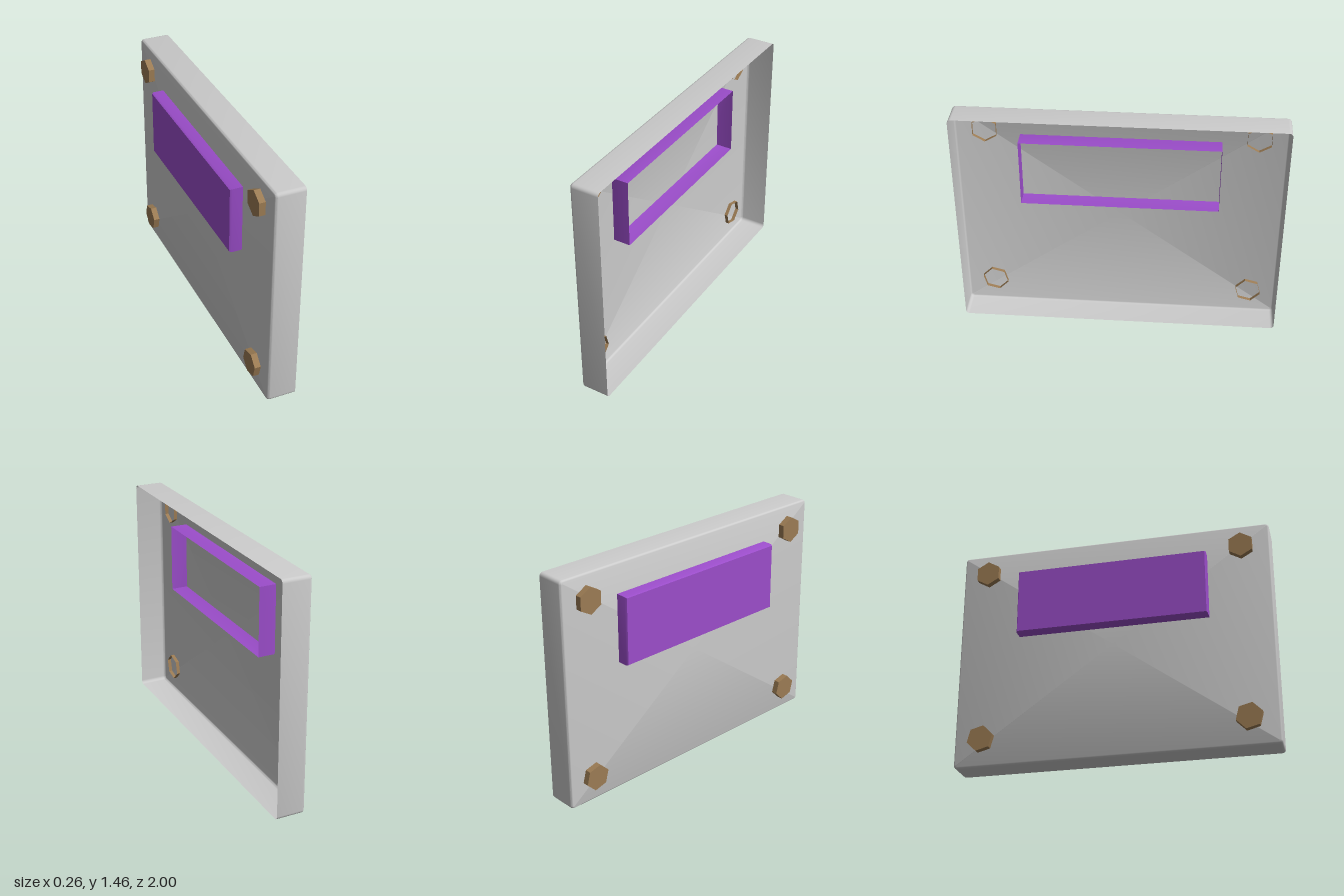
import * as THREE from 'three';
import { toCreasedNormals } from 'three/addons/utils/BufferGeometryUtils.js';

const material = (color) => new THREE.MeshStandardMaterial({ color, side: THREE.DoubleSide });

// Rounded rectangle outline as [z, y] points, counter-clockwise seen from -x
function roundedRect(halfZ, halfY, r, steps) {
  const pts = [];
  for (let c = 0; c < 4; c++) {
    const sz = c === 0 || c === 3 ? 1 : -1, sy = c < 2 ? 1 : -1;
    for (let i = 0; i <= steps; i++) {
      const a = (c + (steps ? i / steps : 0)) * Math.PI / 2;
      pts.push([sz * (halfZ - r) + r * Math.cos(a), sy * (halfY - r) + r * Math.sin(a)]);
    }
  }
  return pts;
}

// Regular hexagon outline with a turn in degrees
function hexagon(radius, turn) {
  return Array.from({ length: 6 }, (_, i) => {
    const a = THREE.MathUtils.degToRad(turn + i * 60);
    return [radius * Math.cos(a), radius * Math.sin(a)];
  });
}

// Thin shell through outlines running towards -x: open at the first, closed at the last
function openShell(name, rings, mat) {
  const pos = [];
  const put = (x, p) => pos.push(x, p[1], p[0]);
  const n = rings[0].pts.length;
  for (let i = 0; i < n; i++) {
    const j = (i + 1) % n;
    for (let k = 0; k < rings.length - 1; k++) {
      const a = rings[k], b = rings[k + 1];
      put(a.x, a.pts[i]); put(a.x, a.pts[j]); put(b.x, b.pts[j]);
      put(a.x, a.pts[i]); put(b.x, b.pts[j]); put(b.x, b.pts[i]);
    }
    const end = rings[rings.length - 1];
    put(end.x, [0, 0]); put(end.x, end.pts[i]); put(end.x, end.pts[j]);
  }
  const geo = new THREE.BufferGeometry();
  geo.setAttribute('position', new THREE.Float32BufferAttribute(pos, 3));
  const mesh = new THREE.Mesh(toCreasedNormals(geo, 0.6), mat);
  mesh.name = name;
  return mesh;
}

export function createModel() {
  const model = new THREE.Group();
  model.name = 'wallPanel';

  // Cover: shallow tray open towards +x, with filleted edges
  const halfZ = 1, halfY = 0.73, corner = 0.022, fillet = 0.018, face = -0.053;
  const rings = [{ x: 0.13, pts: roundedRect(halfZ, halfY, corner, 4) }];
  for (let i = 0; i <= 4; i++) {
    const a = i / 4 * Math.PI / 2;
    const inset = fillet * (1 - Math.cos(a));
    rings.push({
      x: face + fillet * (1 - Math.sin(a)),
      pts: roundedRect(halfZ - inset, halfY - inset, corner - inset, 4),
    });
  }
  const cover = openShell('cover', rings, material(0xcccccc));
  cover.position.y = halfY;
  model.add(cover);

  // Nameplate block: open-backed box passing through the cover
  const plate = openShell('raisedPlate', [
    { x: 0.053, pts: roundedRect(0.606, 0.215, 0, 0) },
    { x: -0.118, pts: roundedRect(0.606, 0.215, 0, 0) },
    { x: -0.13, pts: roundedRect(0.6, 0.209, 0, 0) },
  ], material(0x9b4dca));
  plate.position.y = 1.059;
  model.add(plate);

  // Four hexagonal bolt heads, each turned a little differently
  const boltMaterial = material(0x9c7c54);
  const bolts = [
    ['upperFrontBolt', 1.309, 0.82, 30],
    ['upperBackBolt', 1.309, -0.826, 30],
    ['lowerFrontBolt', 0.17, 0.82, 15],
    ['lowerBackBolt', 0.17, -0.826, 15],
  ];
  for (const [name, y, z, turn] of bolts) {
    const pts = hexagon(0.083, turn);
    const bolt = openShell(name, [{ x: -0.03, pts }, { x: -0.092, pts }], boltMaterial);
    bolt.position.set(0, y, z);
    model.add(bolt);
  }
  return model;
}
